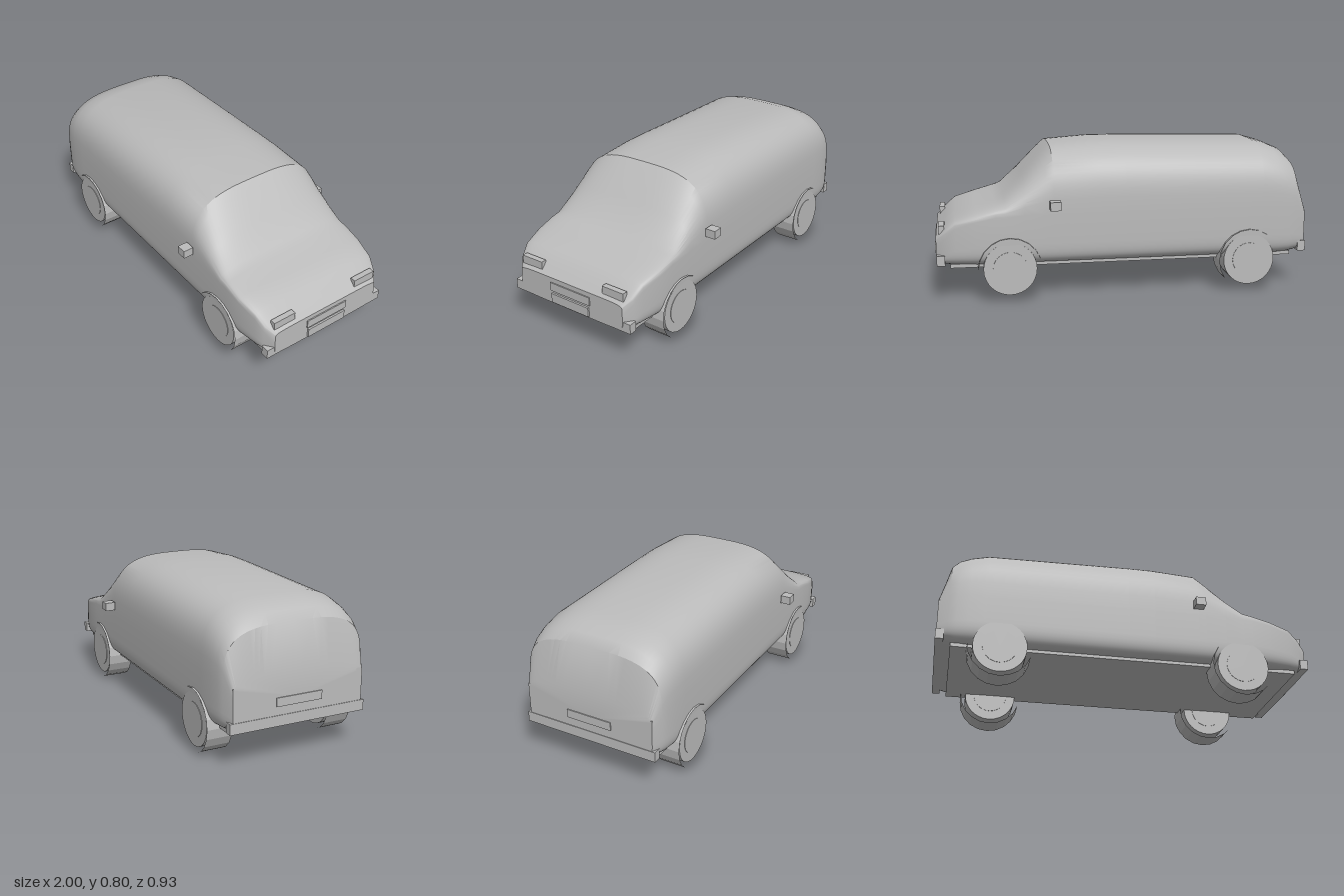
import * as THREE from 'three';
import { toCreasedNormals } from 'three/addons/utils/BufferGeometryUtils.js';

const grey = new THREE.MeshStandardMaterial({ color: 0xbbbbbb });
grey.name = 'body grey';

// Body stations along x: [x, half width, bottom, shoulder, top, roof squareness]
const STATIONS = [
  [-0.995, 0.36, 0.195, 0.37, 0.46, 4],
  [-0.94, 0.385, 0.185, 0.42, 0.69, 3.4],
  [-0.90, 0.393, 0.178, 0.44, 0.735, 3.2],
  [-0.84, 0.4, 0.175, 0.45, 0.76, 3.2],
  [-0.75, 0.402, 0.175, 0.45, 0.785, 3.2],
  [0, 0.402, 0.175, 0.45, 0.8, 3.2],
  [0.14, 0.402, 0.175, 0.45, 0.8, 3.2],
  [0.38, 0.402, 0.175, 0.45, 0.782, 3.2],
  [0.42, 0.402, 0.175, 0.45, 0.745, 3.2],
  [0.53, 0.402, 0.175, 0.45, 0.625, 3.2],
  [0.63, 0.402, 0.175, 0.44, 0.52, 3.4],
  [0.68, 0.402, 0.175, 0.44, 0.495, 4],
  [0.78, 0.4, 0.175, 0.42, 0.465, 4],
  [0.89, 0.382, 0.178, 0.385, 0.43, 5],
  [0.945, 0.365, 0.183, 0.33, 0.382, 6],
  [0.99, 0.33, 0.19, 0.28, 0.335, 9],
];

function bodyGeometry(sides = 64) {
  const pos = [], index = [];
  const power = (v, e) => Math.sign(v) * Math.abs(v) ** e;
  for (const [x, w, bottom, mid, top, n] of STATIONS) {
    for (let j = 0; j < sides; j++) {
      const a = (j / sides) * Math.PI * 2, s = Math.sin(a);
      const e = 2 / (s >= 0 ? n : 8);
      pos.push(x, mid + power(s, e) * (s >= 0 ? top - mid : mid - bottom), w * power(Math.cos(a), e));
    }
  }
  const last = STATIONS.length - 1;
  for (let i = 0; i < last; i++) {
    for (let j = 0; j < sides; j++) {
      const a = i * sides + j, b = i * sides + (j + 1) % sides;
      index.push(a, a + sides, b, b, a + sides, b + sides);
    }
  }
  // Flat tail and nose
  const tail = pos.length / 3;
  pos.push(STATIONS[0][0], 0.33, 0, STATIONS[last][0], 0.26, 0);
  for (let j = 0; j < sides; j++) {
    const k = (j + 1) % sides;
    index.push(tail, j, k, tail + 1, last * sides + k, last * sides + j);
  }
  const g = new THREE.BufferGeometry();
  g.setAttribute('position', new THREE.Float32BufferAttribute(pos, 3));
  g.setIndex(index);
  return toCreasedNormals(g, 0.5);
}

export function createModel() {
  const model = new THREE.Group();
  model.name = 'van';

  const add = (name, geometry, parent = model) => {
    const mesh = new THREE.Mesh(geometry, grey);
    mesh.name = name;
    parent.add(mesh);
    return mesh;
  };
  // Box given by its limits on each axis
  const box = (name, x0, x1, y0, y1, z0, z1) =>
    add(name, new THREE.BoxGeometry(x1 - x0, y1 - y0, z1 - z0))
      .position.set((x0 + x1) / 2, (y0 + y1) / 2, (z0 + z1) / 2);
  const pair = (name, x0, x1, y0, y1, z0, z1) => {
    box(name + 'Left', x0, x1, y0, y1, z0, z1);
    box(name + 'Right', x0, x1, y0, y1, -z1, -z0);
  };

  add('body', bodyGeometry());
  box('floor', -0.92, 0.92, 0.17, 0.19, -0.345, 0.345);
  box('frontBumper', 0.945, 0.988, 0.19, 0.243, -0.375, 0.375);
  box('rearBumper', -0.998, -0.955, 0.195, 0.25, -0.375, 0.375);
  box('grille', 0.98, 0.996, 0.263, 0.309, -0.127, 0.127);
  box('frontPlate', 0.98, 1.0, 0.2, 0.25, -0.12, 0.12);
  box('rearPlate', -1.0, -0.985, 0.295, 0.34, -0.127, 0.127);
  pair('headlight', 0.945, 0.975, 0.348, 0.392, 0.197, 0.327);
  pair('tailLight', -0.995, -0.97, 0.34, 0.42, 0.325, 0.36);
  pair('mirror', 0.35, 0.405, 0.478, 0.523, 0.407, 0.463);

  // Wheels: open tyre band, closed rim and raised hub cap
  const tyre = toCreasedNormals(new THREE.CylinderGeometry(0.165, 0.165, 0.138, 20, 1, true), 0.1);
  const rim = new THREE.CylinderGeometry(0.139, 0.139, 0.115, 32);
  const hub = new THREE.CylinderGeometry(0.09, 0.09, 0.12, 32);
  for (const [end, x] of [['front', 0.612], ['rear', -0.671]]) {
    for (const side of [1, -1]) {
      const wheel = new THREE.Group();
      wheel.name = end + 'Wheel' + (side > 0 ? 'Left' : 'Right');
      add('tyre', tyre, wheel);
      add('rim', rim, wheel);
      add('hub', hub, wheel);
      wheel.rotation.x = Math.PI / 2;
      wheel.position.set(x, 0.167, side * 0.344);
      model.add(wheel);
    }
  }
  return model;
}
